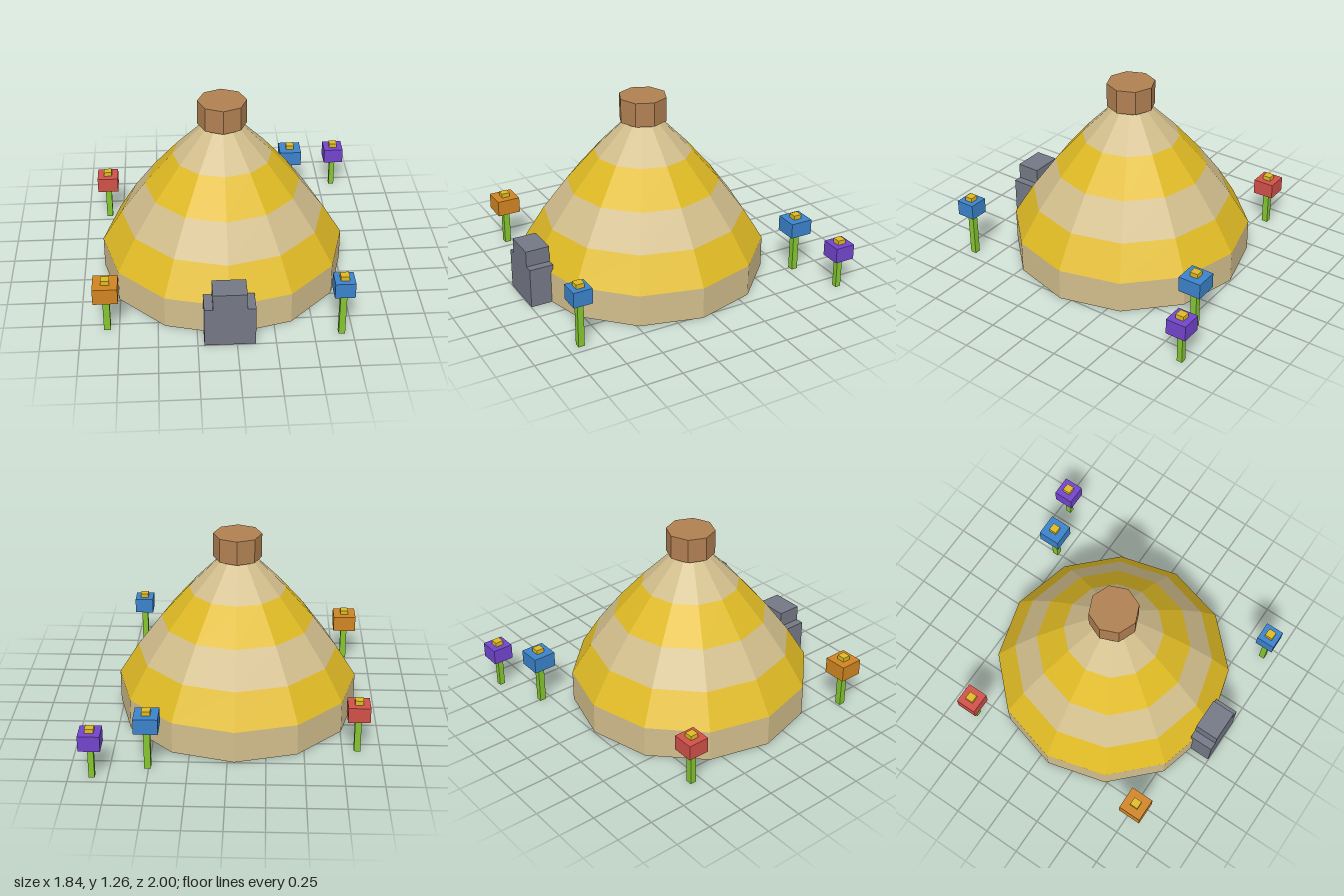
import * as THREE from 'three';

const mat = (name, color) => {
  const m = new THREE.MeshStandardMaterial({ color, flatShading: true });
  m.name = name;
  return m;
};

export function createModel() {
  const model = new THREE.Group();
  model.name = 'tentWithFlowers';

  const tan = mat('tan canvas', 0xd2be8c);
  const yellow = mat('yellow', 0xdfba24);
  const brown = mat('brown wood', 0xb08052);
  const grey = mat('grey stone', 0x747885);
  const green = mat('stem green', 0x84c530);
  const blue = mat('petal blue', 0x3b82ca);
  const purple = mat('petal purple', 0x7245cc);
  const red = mat('petal red', 0xd05048);
  const orange = mat('petal orange', 0xd08422);

  const add = (parent, name, geometry, material, x, y, z) => {
    const mesh = new THREE.Mesh(geometry, material);
    mesh.name = name;
    mesh.position.set(x, y, z);
    parent.add(mesh);
    return mesh;
  };
  // Box spanning y0 to y1, centred on x and z
  const box = (parent, name, material, w, y0, y1, d, x, z) =>
    add(parent, name, new THREE.BoxGeometry(w, y1 - y0, d), material, x, (y0 + y1) / 2, z);

  // Tent: upright wall, four striped roof bands and a cap
  const tent = new THREE.Group();
  tent.name = 'tent';
  tent.position.set(-0.045, 0, 0.075);
  model.add(tent);

  const step = 0.22;
  const radii = [0.82, 0.684, 0.52, 0.33, 0.115];
  add(tent, 'wall', new THREE.CylinderGeometry(0.82, 0.82, step, 12), tan, 0, step / 2, 0);
  for (let i = 0; i < 4; i++) {
    const band = new THREE.CylinderGeometry(radii[i + 1], radii[i], step, 12, 1, true);
    add(tent, 'roofBand' + (i + 1), band, i % 2 ? tan : yellow, 0, step * (i + 1.5), 0);
  }
  add(tent, 'cap', new THREE.CylinderGeometry(0.163, 0.163, 0.165, 8), brown, 0, 1.1825, 0);

  // Stepped doorway on the front
  const door = new THREE.Group();
  door.name = 'doorway';
  model.add(door);
  box(door, 'doorBase', grey, 0.328, 0, 0.275, 0.165, -0.045, 0.915);
  box(door, 'doorTop', grey, 0.218, 0.275, 0.385, 0.165, -0.045, 0.915);

  // Flowers: petals, x, z, head width, head bottom, head top, stem width
  const flowers = [
    [orange, -0.827, 0.785, 0.16, 0.25, 0.36, 0.044],
    [red, -0.848, -0.565, 0.145, 0.245, 0.35, 0.042],
    [blue, 0.677, 0.909, 0.13, 0.317, 0.422, 0.042],
    [blue, 0.507, -0.81, 0.157, 0.284, 0.39, 0.043],
    [purple, 0.85, -0.93, 0.14, 0.222, 0.328, 0.038],
  ];
  for (const [petal, x, z, size, low, high, stem] of flowers) {
    const flower = new THREE.Group();
    flower.name = 'flower';
    model.add(flower);
    box(flower, 'stem', green, stem, 0, low, stem, x, z);
    box(flower, 'petals', petal, size, low, high, size, x, z);
    box(flower, 'flowerCentre', yellow, 0.056, high, high + 0.03, 0.056, x, z);
  }

  return model;
}
